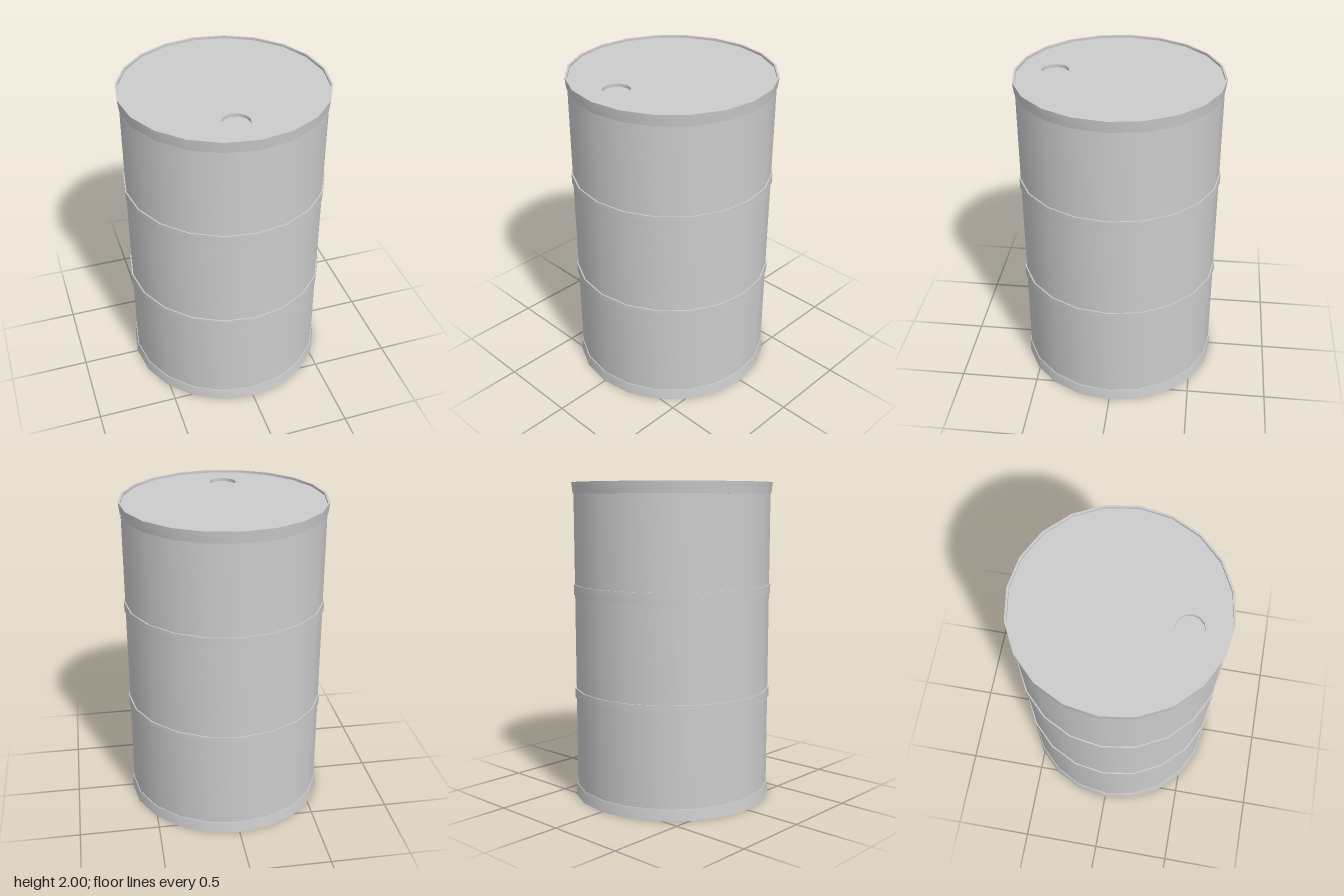
import * as THREE from 'three';
import { toCreasedNormals } from 'three/addons/utils/BufferGeometryUtils.js';

const SIDES = 20;
const R = 0.62;        // body radius
const RECESS = 0.015;  // how far lid and base sit inside the rims
const material = new THREE.MeshStandardMaterial({ color: 0xcccccc });

// Ring or wall turned from [radius, y] points, listed bottom to top on the outside
function turned(name, profile, parent) {
  const points = profile.map(([r, y]) => new THREE.Vector2(r, y));
  const geometry = toCreasedNormals(new THREE.LatheGeometry(points, SIDES), 0.6);
  const mesh = new THREE.Mesh(geometry, material);
  mesh.name = name;
  parent.add(mesh);
}

// Regular polygon outline, with a corner on the x axis
function polygon(PathType, cx, cy, radius, sides) {
  const points = [];
  for (let i = 0; i < sides; i++) {
    const a = (i / sides) * Math.PI * 2;
    points.push(new THREE.Vector2(cx + Math.cos(a) * radius, cy + Math.sin(a) * radius));
  }
  return new PathType(points);
}

export function createModel() {
  const barrel = new THREE.Group();
  barrel.name = 'barrel';

  // Straight wall
  turned('body', [[R, 0.03], [R, 1.97]], barrel);

  // Flared end rims, with a short inner lip
  turned('bottomRim', [[R, RECESS], [R, 0], [0.633, 0], [0.625, 0.07], [R, 0.07]], barrel);
  turned('topRim', [[R, 1.93], [0.625, 1.93], [0.633, 2], [R, 2], [R, 2 - RECESS]], barrel);

  // Two rolling hoops
  for (const y of [0.64, 1.303]) {
    turned('hoop', [[R, y], [0.628, y], [0.628, y + 0.063], [R, y + 0.063]], barrel);
  }

  // Recessed lid with the filler opening
  const hole = { x: -0.055, z: 0.393, r: 0.084, sides: 12, depth: 0.02 };
  const lidShape = polygon(THREE.Shape, 0, 0, R, SIDES);
  lidShape.holes.push(polygon(THREE.Path, hole.x, -hole.z, hole.r, hole.sides));
  const lid = new THREE.Mesh(new THREE.ShapeGeometry(lidShape).rotateX(-Math.PI / 2), material);
  lid.name = 'lid';
  lid.position.y = 2 - RECESS;
  barrel.add(lid);

  // Sunken filler plug: inward-facing wall and floor
  const plug = new THREE.Group();
  plug.name = 'fillerPlug';
  plug.position.set(hole.x, 2 - RECESS - hole.depth, hole.z);
  const wallMaterial = material.clone();
  wallMaterial.side = THREE.DoubleSide;
  const wall = new THREE.Mesh(
    new THREE.CylinderGeometry(hole.r, hole.r, hole.depth, hole.sides, 1, true), wallMaterial);
  wall.name = 'plugWall';
  wall.position.y = hole.depth / 2;
  const floor = new THREE.Mesh(
    new THREE.CircleGeometry(hole.r, hole.sides).rotateX(-Math.PI / 2), material);
  floor.name = 'plugFloor';
  plug.add(wall, floor);
  barrel.add(plug);

  // Recessed base
  const base = new THREE.Mesh(new THREE.CircleGeometry(R, SIDES).rotateX(Math.PI / 2), material);
  base.name = 'base';
  base.position.y = RECESS;
  barrel.add(base);

  return barrel;
}
